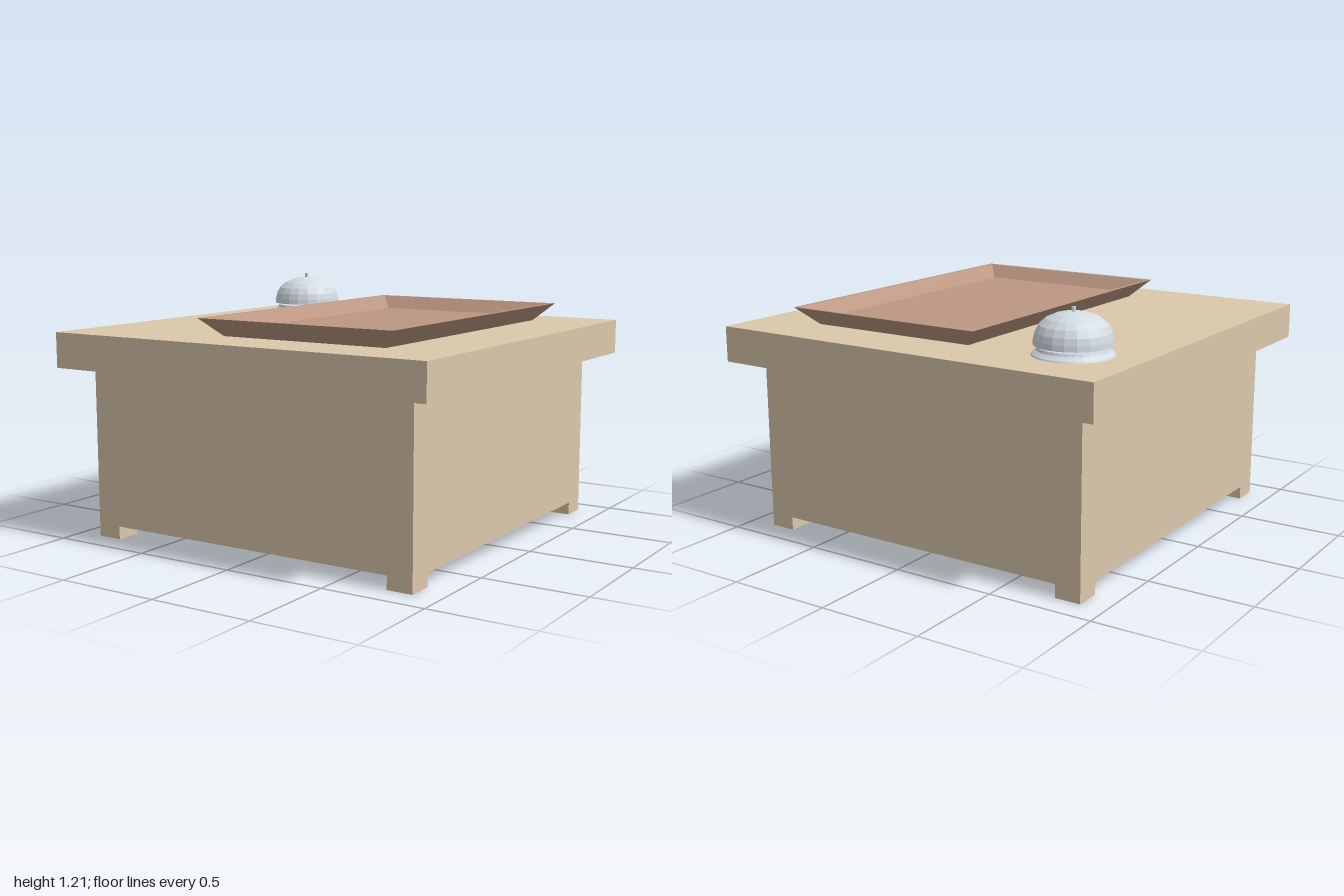
import * as THREE from 'three';

const wood = new THREE.MeshStandardMaterial({ color: 0xdcc8ac });
const clay = new THREE.MeshStandardMaterial({ color: 0xbc9783, flatShading: true });
const metal = new THREE.MeshStandardMaterial({ color: 0xd3dce2, flatShading: true, side: THREE.DoubleSide });

function add(parent, name, geometry, material, x = 0, y = 0, z = 0) {
  const mesh = new THREE.Mesh(geometry, material);
  mesh.name = name;
  mesh.position.set(x, y, z);
  parent.add(mesh);
  return mesh;
}

// Skin through rectangular rings [halfX, y, halfZ], capped at both ends
function rectLoft(rings) {
  const pos = [];
  const corners = rings.map(([w, y, d]) => [[w, y, d], [w, y, -d], [-w, y, -d], [-w, y, d]]);
  const quad = (a, b, c, d) => [a, b, c, a, c, d].forEach((p) => pos.push(...p));
  for (let r = 0; r < corners.length - 1; r++) {
    for (let i = 0; i < 4; i++) {
      const j = (i + 1) % 4;
      quad(corners[r][i], corners[r][j], corners[r + 1][j], corners[r + 1][i]);
    }
  }
  quad(...corners[0].slice().reverse());
  quad(...corners[corners.length - 1]);
  const geometry = new THREE.BufferGeometry();
  geometry.setAttribute('position', new THREE.Float32BufferAttribute(pos, 3));
  geometry.computeVertexNormals();
  return geometry;
}

const lathe = (points, sides) =>
  new THREE.LatheGeometry(points.map(([r, y]) => new THREE.Vector2(r, y)), sides);

export function createModel() {
  const model = new THREE.Group();
  model.name = 'counter';

  // Cabinet with an overhanging top and four short corner feet
  add(model, 'cabinet', new THREE.BoxGeometry(1.75, 0.767, 1.75), wood, -0.005, 0.4465, -0.005);
  add(model, 'counterTop', new THREE.BoxGeometry(2, 0.17, 2), wood, 0, 0.915, 0);
  for (const sx of [-1, 1]) {
    for (const sz of [-1, 1]) {
      add(model, 'foot', new THREE.BoxGeometry(0.125, 0.063, 0.125), wood,
        sx * 0.8125 - 0.005, 0.0315, sz * 0.8125 - 0.005);
    }
  }

  // Shallow tray with sloping walls: outside, rim, inside, floor
  add(model, 'tray', rectLoft([
    [0.43, 0, 0.73],
    [0.515, 0.085, 0.815],
    [0.495, 0.085, 0.795],
    [0.44, 0.022, 0.74],
  ]), clay, 0.225, 1.003, 0.005);

  // Service bell: flared base, domed cup and push button
  const bell = new THREE.Group();
  bell.name = 'serviceBell';
  bell.position.set(-0.675, 1, -0.615);
  model.add(bell);
  add(bell, 'bellBase', lathe([
    [0, 0], [0.183, 0], [0.18, 0.006], [0.16, 0.022], [0.155, 0.035], [0, 0.035],
  ], 32), metal);
  add(bell, 'bellDome', lathe([
    [0, 0.045], [0.175, 0.045], [0.173, 0.07], [0.166, 0.1], [0.15, 0.13],
    [0.12, 0.157], [0.08, 0.175], [0.04, 0.184], [0, 0.187],
  ], 20), metal);
  add(bell, 'bellPost', new THREE.CylinderGeometry(0.05, 0.05, 0.02, 12), metal, 0, 0.038, 0);
  add(bell, 'bellButton', new THREE.CylinderGeometry(0.01, 0.01, 0.03, 10), metal, 0, 0.192, 0);

  return model;
}
